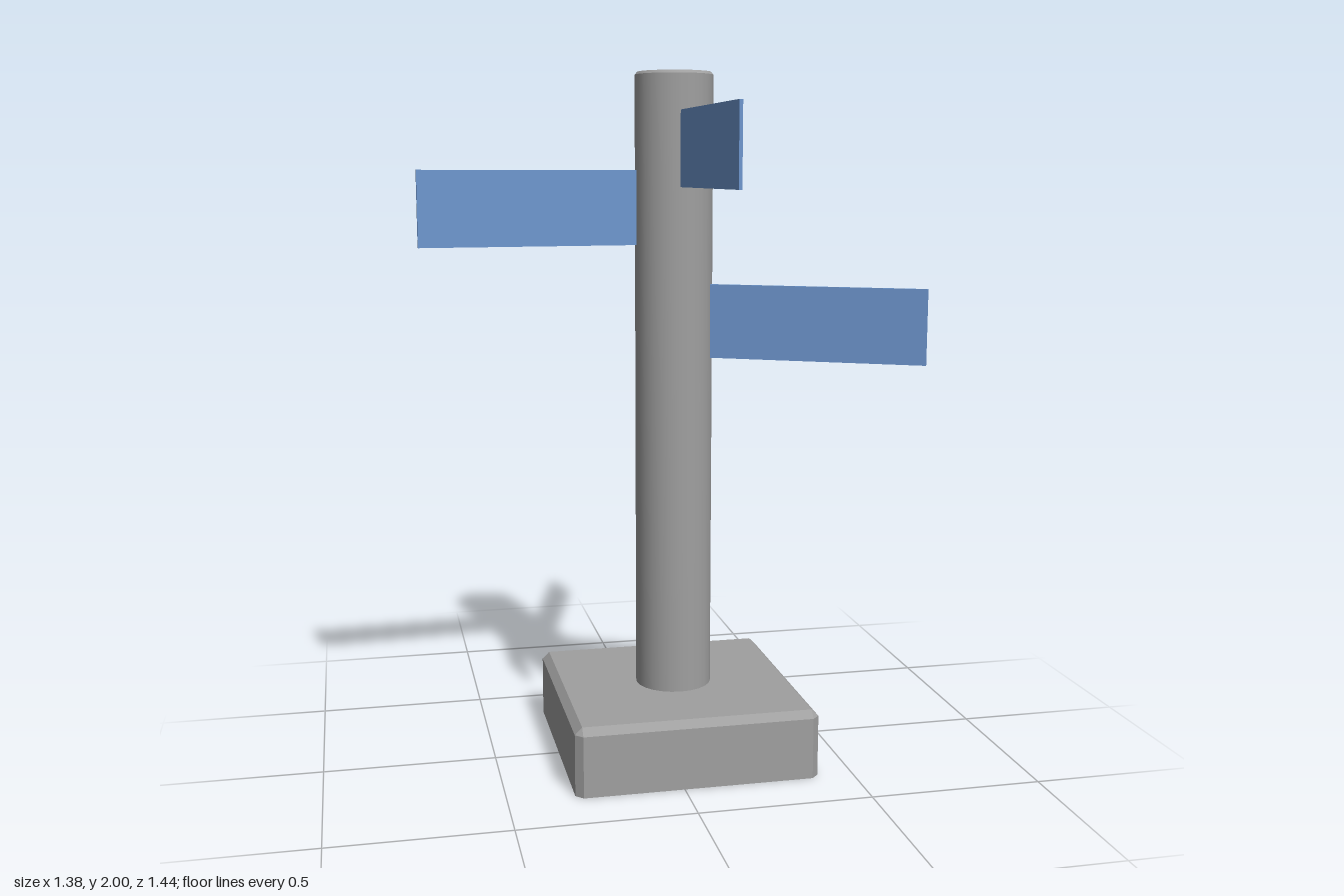
import * as THREE from 'three';
import { toCreasedNormals } from 'three/addons/utils/BufferGeometryUtils.js';

const CX = 0.044, CZ = -0.013; // axis of the post

// Hollow, open-bottomed base with chamfered upright and top edges
function baseGeometry(h, c, height) {
  const i = h - c;
  const outer = [[h, -i], [h, i], [i, h], [-i, h], [-h, i], [-h, -i], [-i, -h], [i, -h]];
  const inner = outer.map(([x, z]) => [Math.sign(x) * i, Math.sign(z) * i]);
  const pos = [];
  const tri = (...pts) => pts.forEach((p) => pos.push(...p));
  const at = (ring, k, y) => [ring[k % 8][0], y, ring[k % 8][1]];
  const rings = [[outer, 0], [outer, height - c], [inner, height]];
  for (let r = 0; r < 2; r++) {
    for (let k = 0; k < 8; k++) {
      const a = at(rings[r][0], k, rings[r][1]);
      const b = at(rings[r][0], k + 1, rings[r][1]);
      const d = at(rings[r + 1][0], k, rings[r + 1][1]);
      const e = at(rings[r + 1][0], k + 1, rings[r + 1][1]);
      tri(a, d, b);
      // chamfer corners close to a single point, so they need one triangle
      if (r === 0 || k % 2 === 0) tri(b, d, e);
    }
  }
  // top face
  tri([-i, height, -i], [-i, height, i], [i, height, i]);
  tri([-i, height, -i], [i, height, i], [i, height, -i]);
  const geo = new THREE.BufferGeometry();
  geo.setAttribute('position', new THREE.Float32BufferAttribute(pos, 3));
  geo.computeVertexNormals();
  return geo;
}

export function createModel() {
  const model = new THREE.Group();
  model.name = 'signpost';
  const grey = new THREE.MeshStandardMaterial({ color: 0xa0a0a0, side: THREE.DoubleSide });
  grey.name = 'concrete grey';
  const blue = new THREE.MeshStandardMaterial({ color: 0x6f98d0 });
  blue.name = 'sign blue';

  const add = (name, geo, mat, x, y, z) => {
    const mesh = new THREE.Mesh(geo, mat);
    mesh.name = name;
    mesh.position.set(x, y, z);
    model.add(mesh);
    return mesh;
  };

  add('base', baseGeometry(0.354, 0.021, 0.2), grey, CX, 0, CZ);

  // Round post with a small bevel at the top
  const profile = [[0, 0.197], [0.112, 0.197], [0.112, 1.992], [0.106, 2], [0, 2]]
    .map(([r, y]) => new THREE.Vector2(r, y));
  add('post', toCreasedNormals(new THREE.LatheGeometry(profile, 24), 0.6), grey, CX, 0, CZ);

  // Thin sign boards: inner end, outer end (x, z) and middle height
  const boards = [
    ['frontBoard', [0.043, 0.095], [0.043, 0.72], 1.785],
    ['rightBoard', [-0.064, -0.009], [-0.69, 0.038], 1.62],
    ['leftBoard', [0.138, 0.04], [0.685, 0.343], 1.295],
    ['backBoard', [0.07, -0.118], [0.23, -0.723], 1.295],
  ];
  for (const [name, [x0, z0], [x1, z1], y] of boards) {
    const geo = new THREE.BoxGeometry(Math.hypot(x1 - x0, z1 - z0), 0.213, 0.009);
    const board = add(name, geo, blue, (x0 + x1) / 2, y, (z0 + z1) / 2);
    board.rotation.y = -Math.atan2(z1 - z0, x1 - x0);
  }
  return model;
}
